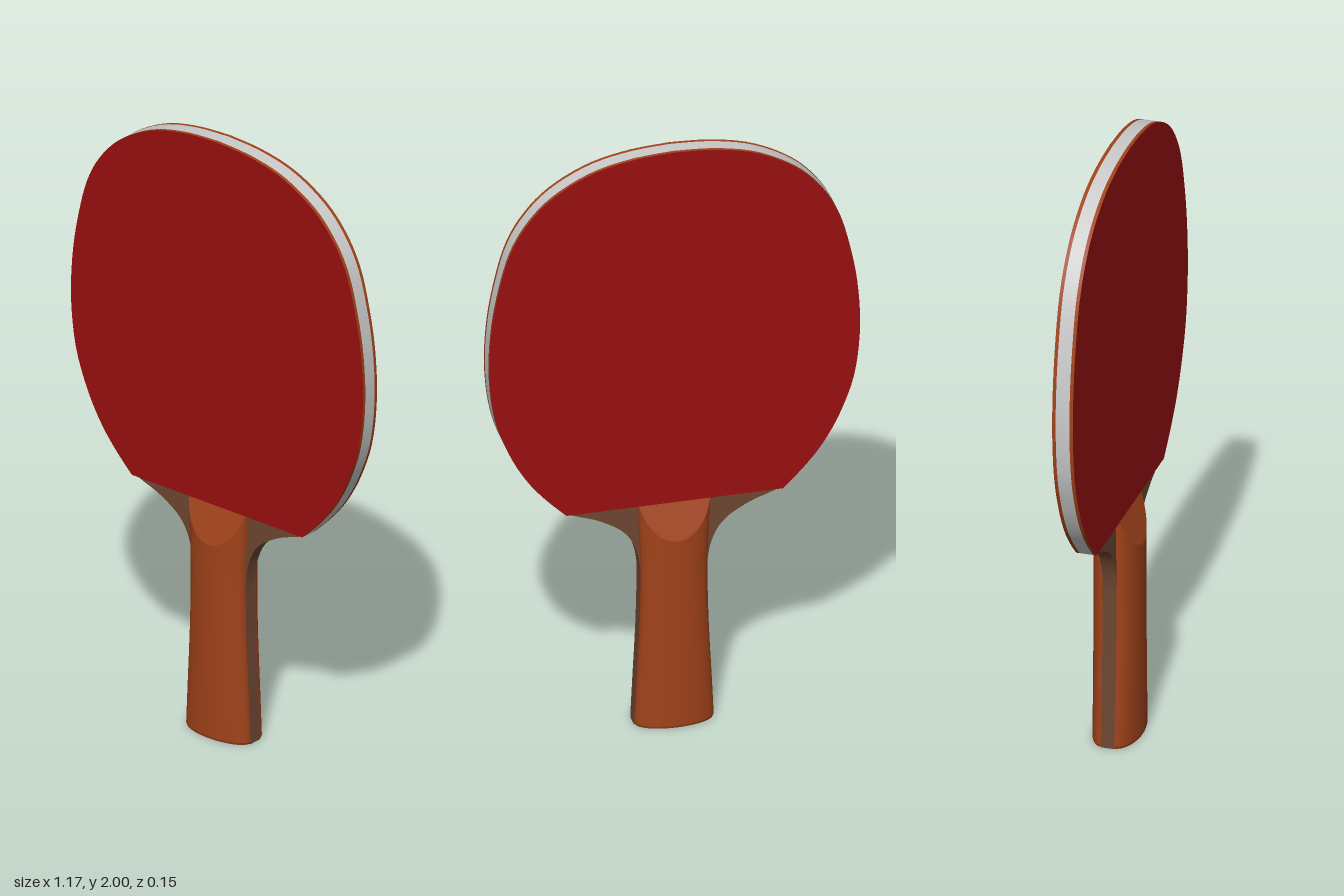
import * as THREE from 'three';

const CUT_Y = 0.77;      // straight lower edge of the rubber
const BLADE = 0.022;     // half thickness of the wooden blade
const RUBBER = 0.033;    // outer face of the rubber
const DEPTH = 0.075;     // outer face of the handle

const mat = (color, side = THREE.FrontSide) => new THREE.MeshStandardMaterial({ color, side });

// Smooth run of points through a few control points
function spline(points, count) {
  return new THREE.SplineCurve(points.map(([x, y]) => new THREE.Vector2(x, y))).getPoints(count);
}

// Closed outline from its right half, mirrored in x
function mirroredShape(half) {
  const left = half.map((p) => new THREE.Vector2(-p.x, p.y)).reverse();
  return new THREE.Shape([...half, ...left.filter((p) => Math.abs(p.x) > 1e-4)]);
}

function slab(shape, z0, z1) {
  const g = new THREE.ExtrudeGeometry(shape, { depth: z1 - z0, bevelEnabled: false });
  g.translate(0, 0, z0);
  return smoothEdges(g);
}

// Smooth the vertical wall of an extrusion while its flat faces stay flat
function smoothEdges(g) {
  const p = g.attributes.position, n = g.attributes.normal, sums = new Map();
  const key = (i) => `${p.getX(i).toFixed(4)},${p.getY(i).toFixed(4)}`;
  const normal = (i) => new THREE.Vector3().fromBufferAttribute(n, i);
  const wall = (i) => Math.abs(n.getZ(i)) < 0.5;
  for (let i = 0; i < p.count; i++) {
    if (!wall(i)) continue;
    if (!sums.has(key(i))) sums.set(key(i), []);
    sums.get(key(i)).push(normal(i));
  }
  for (let i = 0; i < p.count; i++) {
    if (!wall(i)) continue;
    const own = normal(i), sum = new THREE.Vector3();
    sums.get(key(i)).forEach((v) => { if (v.dot(own) > 0.8) sum.add(v); });
    sum.normalize();
    n.setXYZ(i, sum.x, sum.y, sum.z);
  }
  return g;
}

// Surface through equally long rows of [x, y, z] points
function loft(rows) {
  const n = rows[0].length, index = [];
  for (let r = 0; r < rows.length - 1; r++) {
    for (let c = 0; c < n - 1; c++) {
      const a = r * n + c, b = a + n;
      index.push(a, b, a + 1, a + 1, b, b + 1);
    }
  }
  const g = new THREE.BufferGeometry();
  g.setAttribute('position', new THREE.Float32BufferAttribute(rows.flat(2), 3));
  g.setIndex(index);
  g.computeVertexNormals();
  return g;
}

// Handle half width along its height
const widths = spline([[0, 0.125], [0.13, 0.119], [0.33, 0.109], [0.5, 0.105], [0.62, 0.107], [CUT_Y, 0.114]], 60);
function widthAt(y) {
  const i = Math.max(1, widths.findIndex((p) => p.x >= y - 1e-6));
  const a = widths[i - 1], b = widths[i];
  return THREE.MathUtils.mapLinear(y, a.x, b.x, a.y, b.y);
}

// One rounded grip half, cut to a slope where it meets the rubber
function makeGrip(wood) {
  const grip = new THREE.Group();
  const N = 32;
  const section = Array.from({ length: N + 1 }, (_, i) => {
    const t = (Math.PI * i) / N;
    return [Math.cos(t), BLADE + (DEPTH - BLADE) * Math.sin(t)];
  });
  const row = (y, k = 1) => section.map(([u, z]) => [u * widthAt(y) * k, y, z * k]);
  const slopeStart = section.map(([u, z]) => {
    const y = CUT_Y - 0.115 * Math.max(0, (z - RUBBER) / (DEPTH - RUBBER));
    return [u * widthAt(y), y, z];
  });
  const slopeEnd = section.map(([u, z]) => [u * widthAt(CUT_Y), CUT_Y, Math.min(z, RUBBER)]);
  const base = row(0, 0.97);
  const parts = {
    gripBody: [...[0.008, 0.08, 0.16, 0.24, 0.32, 0.4, 0.48, 0.56, 0.64].map((y) => row(y)), slopeStart],
    gripSlope: [slopeStart, slopeEnd],
    gripTop: [slopeEnd, slopeEnd.map(([x, y]) => [x, y, 0])],
    gripBottomEdge: [base, row(0.008)],
    gripBottom: [base.map(([x, y]) => [x, y, 0]), base],
  };
  for (const [name, rows] of Object.entries(parts)) {
    const mesh = new THREE.Mesh(loft(rows), wood);
    mesh.name = name;
    grip.add(mesh);
  }
  return grip;
}

export function createModel() {
  const model = new THREE.Group();
  model.name = 'tableTennisBat';
  const add = (name, geometry, material) => {
    const mesh = new THREE.Mesh(geometry, material);
    mesh.name = name;
    model.add(mesh);
  };
  const wood = mat(0xa0421a, THREE.DoubleSide);
  const darkWood = mat(0x6e4632);
  const red = mat(0x9a1010);
  const edgeGrey = mat(0xcccccc);

  // Head outline, right half from the straight edge to the top
  const head = mirroredShape(spline([
    [0.34, CUT_Y], [0.405, 0.835], [0.465, 0.91], [0.52, 1.01], [0.565, 1.14], [0.583, 1.3],
    [0.575, 1.46], [0.55, 1.6], [0.515, 1.72], [0.46, 1.815], [0.38, 1.895], [0.26, 1.96],
    [0.13, 1.991], [0, 2],
  ], 56));
  add('bladeEdge', slab(head, -BLADE, BLADE), edgeGrey);

  // Rubber sheets on both faces, with wood-coloured sponge edges
  add('frontRubber', slab(head, BLADE, RUBBER), [red, wood]);
  add('backRubber', slab(head, -RUBBER, -BLADE), [red, wood]);

  // Blade neck: runs through the handle and flares out to the head
  const neck = mirroredShape([
    ...widths.filter((p) => p.x < 0.52).map((p) => new THREE.Vector2(p.y, p.x)),
    ...spline([[0.105, 0.54], [0.115, 0.6], [0.138, 0.655], [0.175, 0.695], [0.24, 0.733], [0.3, 0.755], [0.34, CUT_Y]], 24),
  ]);
  add('bladeNeck', slab(neck, -BLADE, BLADE), darkWood);

  // Two grip halves, the back one turned round
  for (const [name, angle] of [['frontGrip', 0], ['backGrip', Math.PI]]) {
    const grip = makeGrip(wood);
    grip.name = name;
    grip.rotation.y = angle;
    model.add(grip);
  }
  return model;
}
